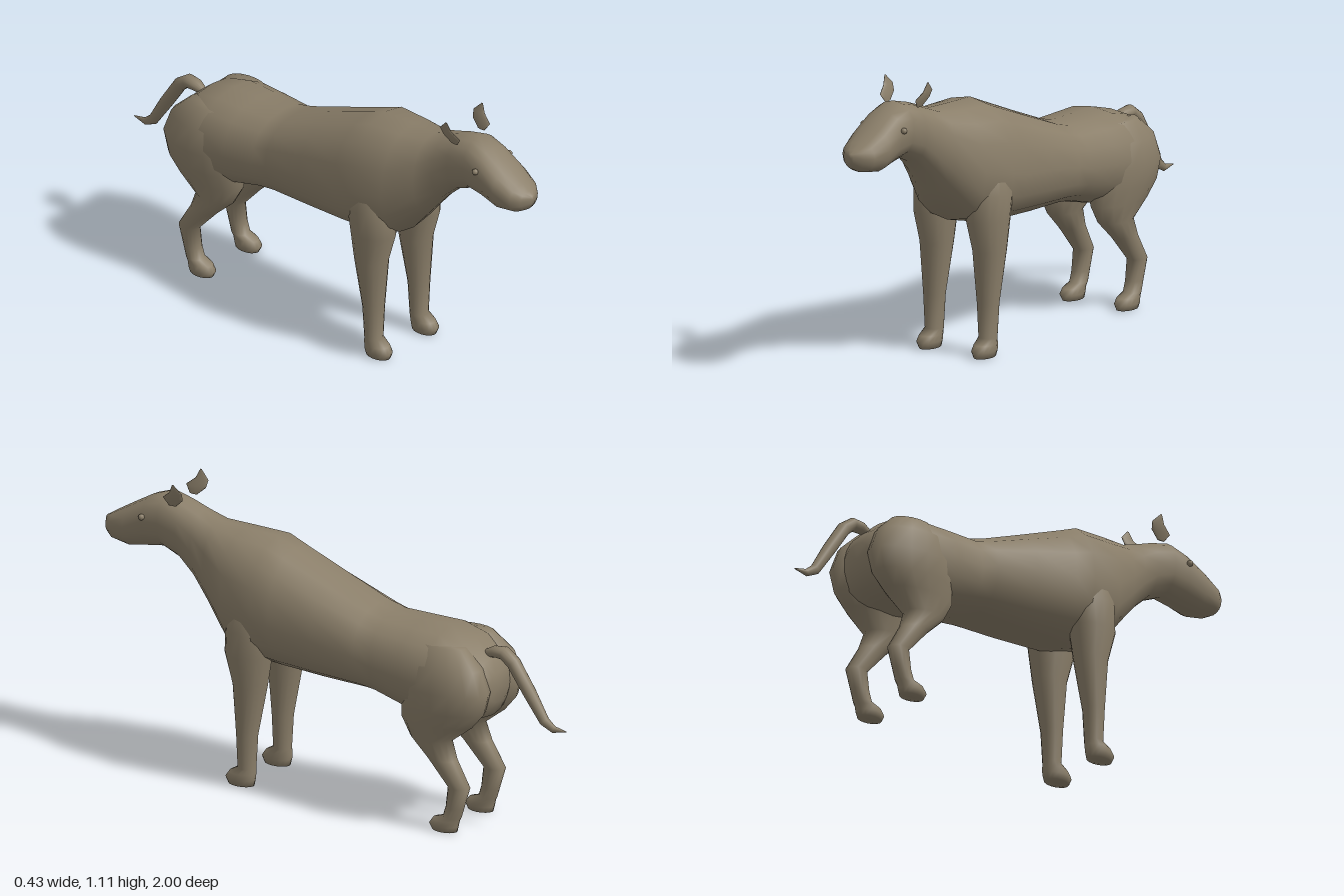
import * as THREE from 'three';

const SEG = 16;

// Skin a row of rings. Ring: [x, y, z, half width, half depth, tilt, lower half depth]
function loft(rings, power = 1) {
  const pos = [], index = [];
  const bend = (v) => Math.sign(v) * Math.pow(Math.abs(v), power);
  for (const [x, y, z, rx, rv, tilt, low = rv] of rings) {
    for (let j = 0; j < SEG; j++) {
      const t = (j / SEG) * Math.PI * 2;
      const s = bend(Math.sin(t));
      const v = s * (s > 0 ? rv : low);
      pos.push(x + rx * bend(Math.cos(t)), y + v * Math.cos(tilt), z + v * Math.sin(tilt));
    }
  }
  for (let i = 0; i < rings.length - 1; i++) {
    for (let j = 0; j < SEG; j++) {
      const a = i * SEG + j, b = i * SEG + (j + 1) % SEG;
      index.push(a, b, b + SEG, a, b + SEG, a + SEG);
    }
  }
  // end caps
  const last = rings.length - 1;
  for (const [i, flip] of [[0, true], [last, false]]) {
    const c = pos.length / 3;
    pos.push(rings[i][0], rings[i][1], rings[i][2]);
    for (let j = 0; j < SEG; j++) {
      const a = i * SEG + j, b = i * SEG + (j + 1) % SEG;
      if (flip) index.push(c, b, a); else index.push(c, a, b);
    }
  }
  const g = new THREE.BufferGeometry();
  g.setAttribute('position', new THREE.Float32BufferAttribute(pos, 3));
  g.setIndex(index);
  g.computeVertexNormals();
  return g;
}

export function createModel() {
  const model = new THREE.Group();
  model.name = 'animal';
  const hide = new THREE.MeshStandardMaterial({ color: 0x8a7e69 });
  hide.name = 'hide';

  const add = (name, geometry) => {
    const mesh = new THREE.Mesh(geometry, hide);
    mesh.name = name;
    model.add(mesh);
    return mesh;
  };

  // torso, neck and head, rump to nose: [z, bottom, widest height, top, half width]
  const sections = [
    [-0.71, 0.50, 0.56, 0.62, 0.07],
    [-0.68, 0.44, 0.57, 0.67, 0.13],
    [-0.61, 0.41, 0.58, 0.73, 0.19],
    [-0.50, 0.40, 0.58, 0.76, 0.205],
    [-0.38, 0.42, 0.59, 0.76, 0.197],
    [-0.25, 0.455, 0.60, 0.762, 0.18],
    [-0.18, 0.462, 0.62, 0.78, 0.181],
    [0.00, 0.465, 0.65, 0.85, 0.19],
    [0.18, 0.475, 0.67, 0.922, 0.20],
    [0.26, 0.48, 0.69, 0.955, 0.203],
    [0.40, 0.515, 0.72, 0.96, 0.178],
    [0.51, 0.645, 0.80, 0.966, 0.125],
    [0.58, 0.725, 0.86, 0.99, 0.10],
    [0.65, 0.79, 0.91, 1.015, 0.092],
    [0.73, 0.825, 0.935, 1.036, 0.092],
    [0.80, 0.812, 0.93, 1.01, 0.09],
    [0.88, 0.798, 0.89, 0.963, 0.092],
    [0.95, 0.81, 0.87, 0.92, 0.075],
    [0.98, 0.825, 0.87, 0.90, 0.048],
    [1.00, 0.85, 0.87, 0.888, 0.012],
  ];
  add('body', loft(sections.map(([z, lo, mid, hi, w]) => [0, mid, z, w, hi - mid, 0, mid - lo]), 0.88));

  // legs, top to ground: [x, y, z, half width, half depth]
  const frontLeg = [
    [0.115, 0.74, 0.30, 0.06, 0.07],
    [0.118, 0.62, 0.30, 0.082, 0.10],
    [0.120, 0.52, 0.31, 0.077, 0.093],
    [0.121, 0.40, 0.302, 0.063, 0.067],
    [0.123, 0.20, 0.314, 0.043, 0.041],
    [0.123, 0.07, 0.315, 0.036, 0.035],
    [0.125, 0.048, 0.332, 0.039, 0.054],
    [0.126, 0.025, 0.341, 0.041, 0.061],
    [0.125, 0.00, 0.338, 0.034, 0.053],
  ];
  const hindLeg = [
    [0.10, 0.72, -0.53, 0.05, 0.09],
    [0.11, 0.65, -0.54, 0.09, 0.155],
    [0.112, 0.56, -0.54, 0.103, 0.19],
    [0.112, 0.48, -0.535, 0.092, 0.175],
    [0.114, 0.42, -0.51, 0.074, 0.15],
    [0.116, 0.35, -0.485, 0.056, 0.085],
    [0.120, 0.28, -0.535, 0.044, 0.06],
    [0.123, 0.18, -0.610, 0.035, 0.044],
    [0.123, 0.10, -0.593, 0.033, 0.036],
    [0.123, 0.058, -0.580, 0.034, 0.036],
    [0.124, 0.044, -0.555, 0.037, 0.055],
    [0.125, 0.022, -0.545, 0.040, 0.060],
    [0.124, 0.00, -0.548, 0.033, 0.052],
  ];
  const ear = [
    [0.098, 1.105, 0.655, 0.001, 0.003],
    [0.091, 1.07, 0.646, 0.006, 0.028],
    [0.081, 1.042, 0.666, 0.008, 0.043],
    [0.073, 1.012, 0.672, 0.003, 0.016],
  ];
  for (const [side, s] of [['left', 1], ['right', -1]]) {
    const upright = (rows) => loft(rows.map(([x, y, z, rx, rz]) => [s * x, y, z, rx, rz, Math.PI / 2]));
    add(side + 'FrontLeg', upright(frontLeg));
    add(side + 'HindLeg', upright(hindLeg));
    add(side + 'Ear', upright(ear));
    add(side + 'Eye', new THREE.SphereGeometry(0.012, 10, 8)).position.set(s * 0.093, 0.948, 0.795);
  }

  // tail, root to tip
  add('tail', loft([
    [0, 0.675, -0.64, 0.012, 0.012, 3.6],
    [0, 0.692, -0.69, 0.027, 0.022, 3.45],
    [0, 0.694, -0.73, 0.030, 0.025, 2.9],
    [0, 0.664, -0.77, 0.029, 0.026, 2.35],
    [0, 0.56, -0.84, 0.026, 0.025, 2.17],
    [0, 0.46, -0.905, 0.018, 0.020, 2.3],
    [0, 0.436, -0.945, 0.011, 0.014, 2.8],
    [0, 0.437, -1.00, 0.002, 0.002, 3.14],
  ]));

  return model;
}
